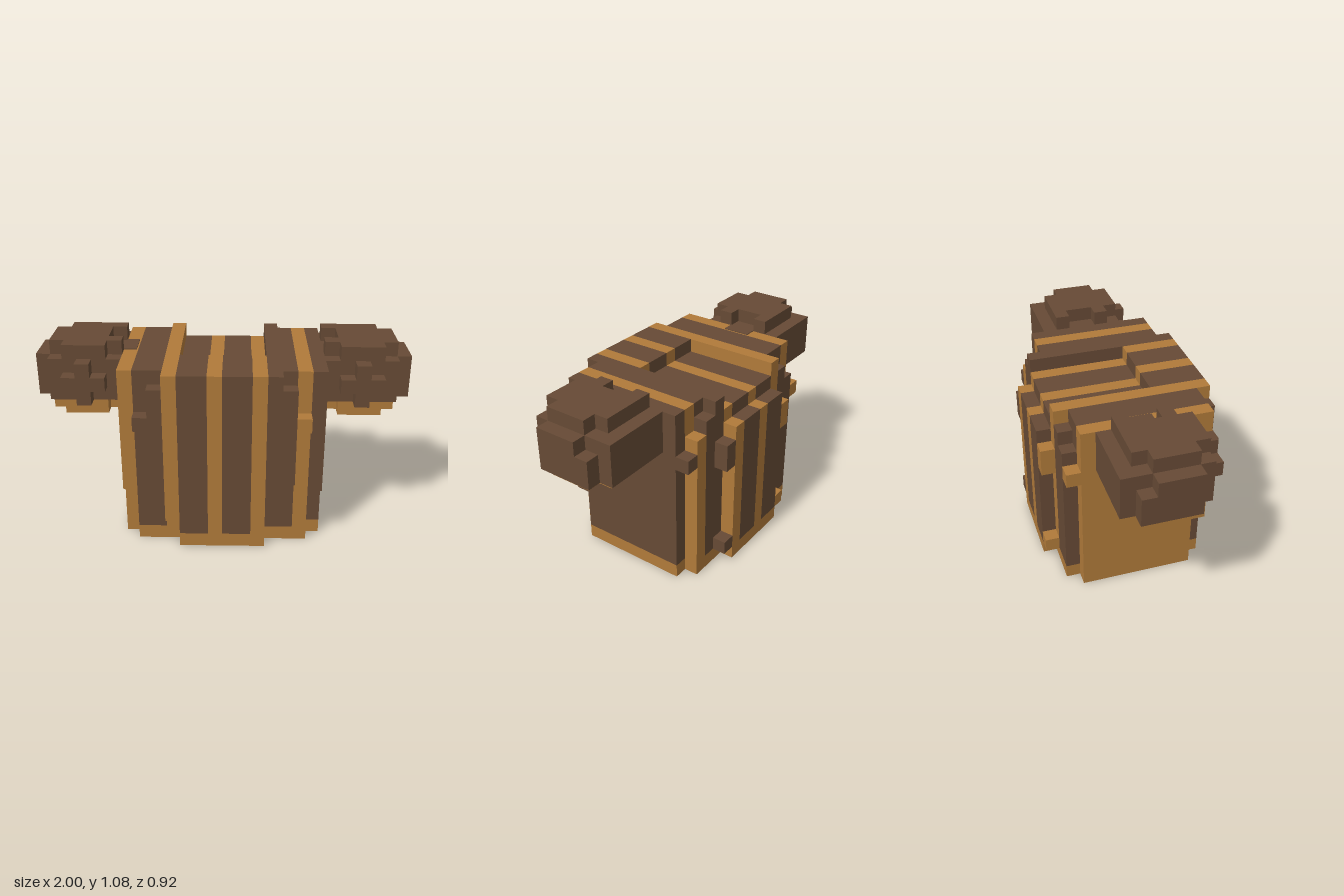
import * as THREE from 'three';

const U = 1 / 13; // edge of one block

export function createModel() {
  const model = new THREE.Group();
  const brown = new THREE.MeshStandardMaterial({ color: 0x664a35 });
  brown.name = 'dark brown';
  const tan = new THREE.MeshStandardMaterial({ color: 0xb07a3a });
  tan.name = 'tan';

  // Box from block coordinates
  function block(parent, name, mat, x0, x1, y0, y1, z0, z1) {
    const g = new THREE.BoxGeometry((x1 - x0) * U, (y1 - y0) * U, (z1 - z0) * U);
    const m = new THREE.Mesh(g, mat);
    m.position.set((x0 + x1) / 2 * U, (y0 + y1) / 2 * U, (z0 + z1) / 2 * U);
    m.name = name;
    parent.add(m);
  }

  // Vertical stripes across the body: start, end, colour
  const stripes = [
    [-7, -6, tan], [-6, -4, brown], [-4, -3, tan], [-3, -1, brown], [-1, 0, tan],
    [0, 2, brown], [2, 3, tan], [3, 5, brown], [5, 6, tan], [6, 7, brown],
  ];
  function striped(parent, name, x0, x1, y0, y1, z0, z1) {
    if (y0 < 1) block(parent, name + 'Base', tan, x0, x1, y0, 1, z0, z1);
    const low = Math.max(1, y0);
    if (y1 <= low) return;
    for (const [a, b, mat] of stripes) {
      const s = Math.max(a, x0), e = Math.min(b, x1);
      if (e > s) block(parent, name + 'Stripe', mat, s, e, low, y1, z0, z1);
    }
  }

  // Body core with a shallow recess in the top
  const body = new THREE.Group();
  body.name = 'body';
  model.add(body);
  striped(body, 'core', -7, 7, 0, 12, -4, 4);
  striped(body, 'topFront', -7, 7, 12, 13, 2, 4);
  striped(body, 'topSide', -7, -3, 12, 13, -4, 2);
  striped(body, 'topSide', 3, 7, 12, 13, -4, 2);

  // Stepped layers on front and back: y0, y1, half width
  const layers = [
    ['frontInner', 4, 5, [[0, 4, 6], [4, 13, 7]]],
    ['frontOuter', 5, 6, [[0, 2, 3], [2, 5, 4], [5, 9, 5], [9, 10, 6], [10, 12, 5], [12, 13, 4]]],
    ['backInner', -5, -4, [[0, 9, 6], [9, 10, 7], [10, 11, 6], [11, 12, 5]]],
    ['backOuter', -6, -5, [[0, 1, 3], [1, 2, 4], [2, 8, 3], [8, 10, 4], [10, 11, 3]]],
  ];
  for (const [name, z0, z1, rows] of layers)
    for (const [y0, y1, h] of rows) striped(body, name, -h, h, y0, y1, z0, z1);
  for (const s of [-1, 1])
    striped(body, 'backCorner', s < 0 ? -4 : 3, s < 0 ? -3 : 4, 12, 13, -5, -4);

  // Dark patch on the tan shoulder
  block(body, 'shoulderPatch', brown, -7, -6.1, 13, 13.06, -1, 1);

  // Chunky arms, mirrored
  for (const s of [-1, 1]) {
    const arm = new THREE.Group();
    arm.name = s > 0 ? 'leftArm' : 'rightArm';
    model.add(arm);
    const part = (name, mat, x0, x1, ...r) =>
      block(arm, name, mat, s > 0 ? x0 : -x1, s > 0 ? x1 : -x0, ...r);
    part('fist', brown, 7, 12, 10, 13, -3, 3);
    part('fistEnd', brown, 12, 13, 10, 13, -1, 2);
    part('fistEndLow', brown, 12, 13, 10, 12, -2, -1);
    part('fistTop', brown, 8, 12, 13, 14, -1, 2);
    part('fistTopBack', brown, 7, 11, 13, 14, -2, -1);
    part('fistTopFront', brown, 8, 11, 13, 14, 2, 3);
    part('fistTopInner', brown, 7, 8, 13, 14, 1, 2);
    part('palm', tan, 7, 12, 9, 10, -1, 2);
    part('palmBack', tan, 7, 11, 9, 10, -2, -1);
    part('palmFront', tan, 8, 11, 9, 10, 2, 3);
    part('knuckleBar', brown, 8, 11, 11, 12, 3, 4);
    part('knucklePost', brown, 9, 10, 10, 13, 3, 4);
  }
  return model;
}
